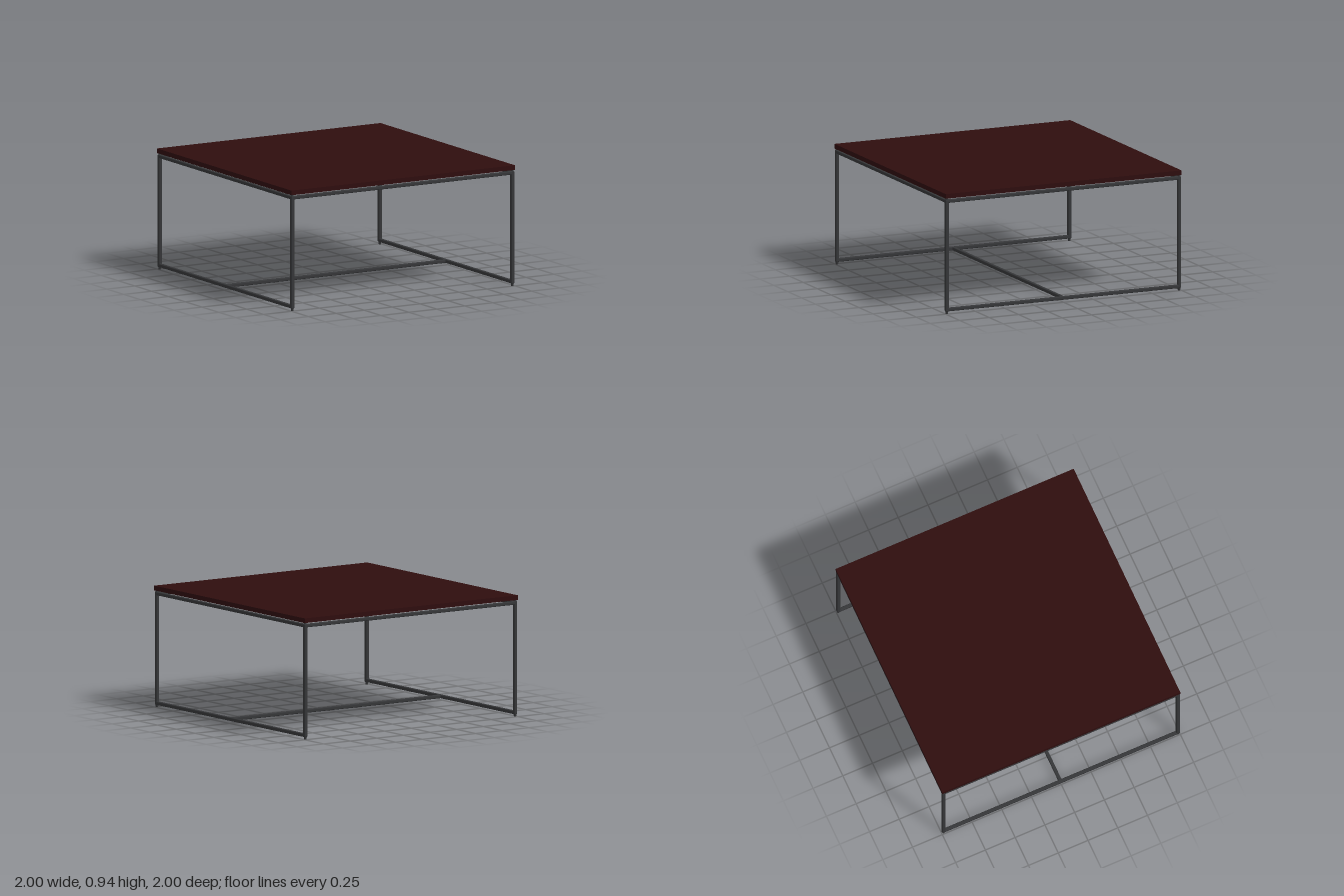
import * as THREE from 'three';
import { RoundedBoxGeometry } from 'three/addons/geometries/RoundedBoxGeometry.js';

export function createModel() {
  const table = new THREE.Group();
  table.name = 'coffeeTable';

  const wood = new THREE.MeshStandardMaterial({ color: 0x2e0d0e });
  wood.name = 'darkMahogany';
  const metal = new THREE.MeshStandardMaterial({ color: 0x353638 });
  metal.name = 'charcoalMetal';

  const BAR = 0.027;   // tube thickness
  const EDGE = 0.985;  // tube centre line
  const LOW = 0.032;   // height of the floor rails
  const HIGH = 0.883;  // height of the upper rails

  function add(name, geometry, material, x, y, z) {
    const mesh = new THREE.Mesh(geometry, material);
    mesh.name = name;
    mesh.position.set(x, y, z);
    table.add(mesh);
  }

  // Square tube with softened edges
  function bar(name, w, h, d, x, y, z) {
    add(name, new RoundedBoxGeometry(w, h, d, 3, 0.007), metal, x, y, z);
  }

  // Table top, raised slightly above the frame
  add('tableTop', new THREE.BoxGeometry(2, 0.036, 2), wood, 0, 0.924, 0);

  const length = 2 * EDGE + BAR;
  for (const s of [-1, 1]) {
    // Upper frame and the floor rail on each side
    bar('upperCrossRail', length, BAR, BAR, 0, HIGH, s * EDGE);
    bar('upperSideRail', BAR, BAR, length, s * EDGE, HIGH, 0);
    bar('floorRail', BAR, BAR, length, s * EDGE, LOW, 0);

    // Corner legs, with a foot below and a spacer under the top
    for (const t of [-1, 1]) {
      const x = s * EDGE, z = t * EDGE;
      bar('leg', BAR, HIGH - LOW + BAR, BAR, x, (HIGH + LOW) / 2, z);
      add('foot', new THREE.CylinderGeometry(0.012, 0.009, 0.022, 16), metal, x, 0.011, z);
      add('spacer', new THREE.CylinderGeometry(0.011, 0.011, 0.016, 16), metal, x, 0.9, z);
    }
  }

  // Stretcher joining the floor rails
  bar('stretcher', 2 * EDGE, BAR, BAR, 0, LOW, 0);

  return table;
}
